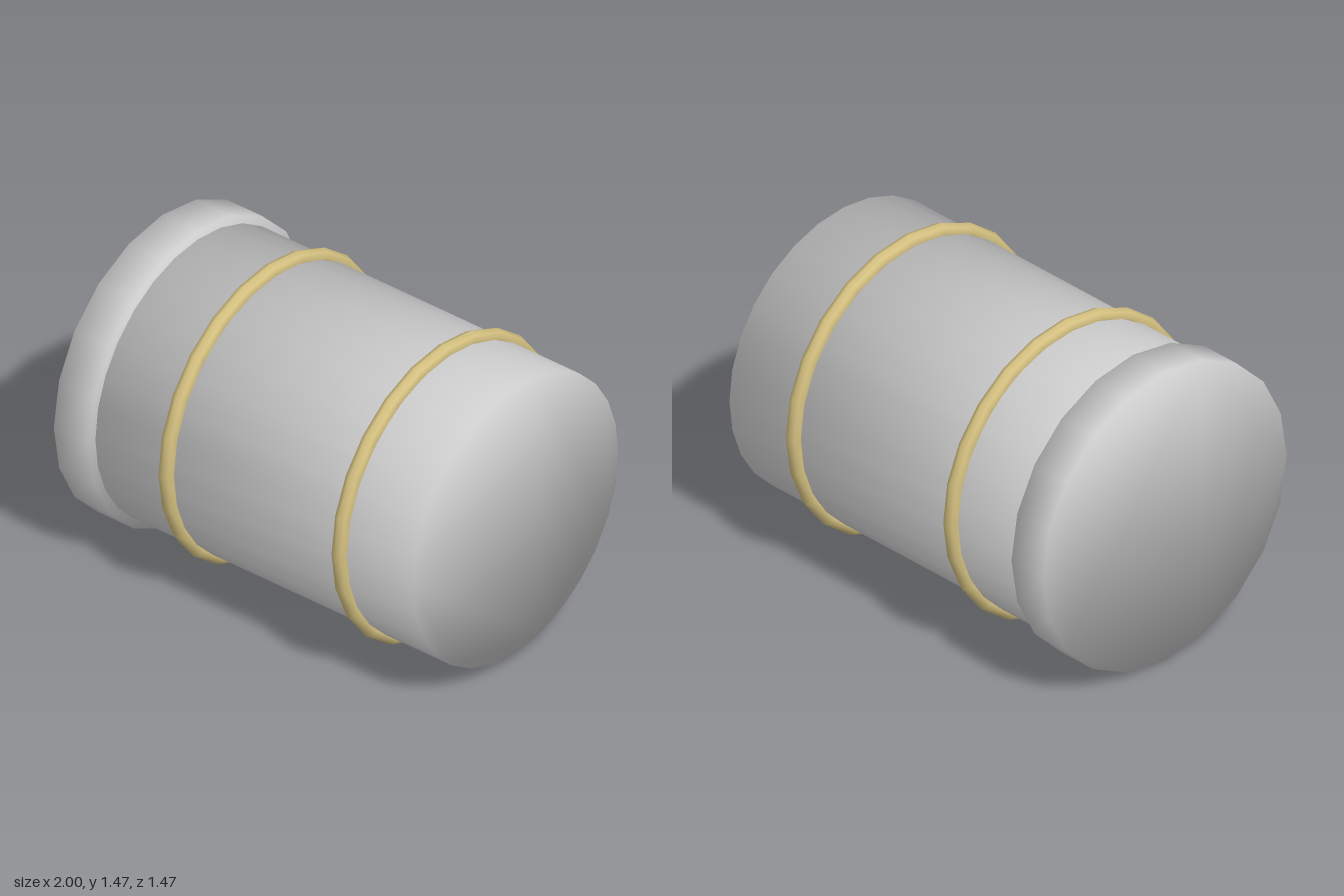
import * as THREE from 'three';

const RADIUS = 0.735;   // outermost radius, also the height of the axis
const TILT = 0.7;       // outward lean of the softened end normals

const grey = new THREE.MeshStandardMaterial({ color: 0xcccccc });
const brass = new THREE.MeshStandardMaterial({ color: 0xd4c080 });

// Capped prism along x, with normals shared softly between wall and caps
function softDrum(name, x0, x1, radius, sides) {
  const corners = Array.from({ length: sides }, (_, i) => {
    const a = (i / sides) * Math.PI * 2;
    return new THREE.Vector2(Math.cos(a) * radius, Math.sin(a) * radius);
  });
  const geometry = new THREE.ExtrudeGeometry(new THREE.Shape(corners), {
    depth: x1 - x0, bevelEnabled: false,
  });
  geometry.rotateY(Math.PI / 2);
  const pos = geometry.attributes.position;
  const middle = (x1 - x0) / 2;
  const n = new THREE.Vector3();
  for (let i = 0; i < pos.count; i++) {
    n.set(Math.sign(pos.getX(i) - middle) * TILT, pos.getY(i) / radius, pos.getZ(i) / radius).normalize();
    geometry.attributes.normal.setXYZ(i, n.x, n.y, n.z);
  }
  const mesh = new THREE.Mesh(geometry, grey);
  mesh.name = name;
  mesh.position.set(x0, RADIUS, 0);
  return mesh;
}

// Round band wrapped about the drum
function band(name, x) {
  const tube = 0.037;
  const geometry = new THREE.TorusGeometry(RADIUS - tube, tube, 8, 24);
  geometry.rotateY(Math.PI / 2);
  const mesh = new THREE.Mesh(geometry, brass);
  mesh.name = name;
  mesh.position.set(x, RADIUS, 0);
  return mesh;
}

export function createModel() {
  const model = new THREE.Group();
  model.name = 'bandedDrum';
  model.add(
    softDrum('body', -0.9, 1, 0.692, 28),
    softDrum('lid', -1, -0.8, RADIUS, 20),
    band('lidSideBand', -0.39),
    band('endBand', 0.59),
  );
  return model;
}
